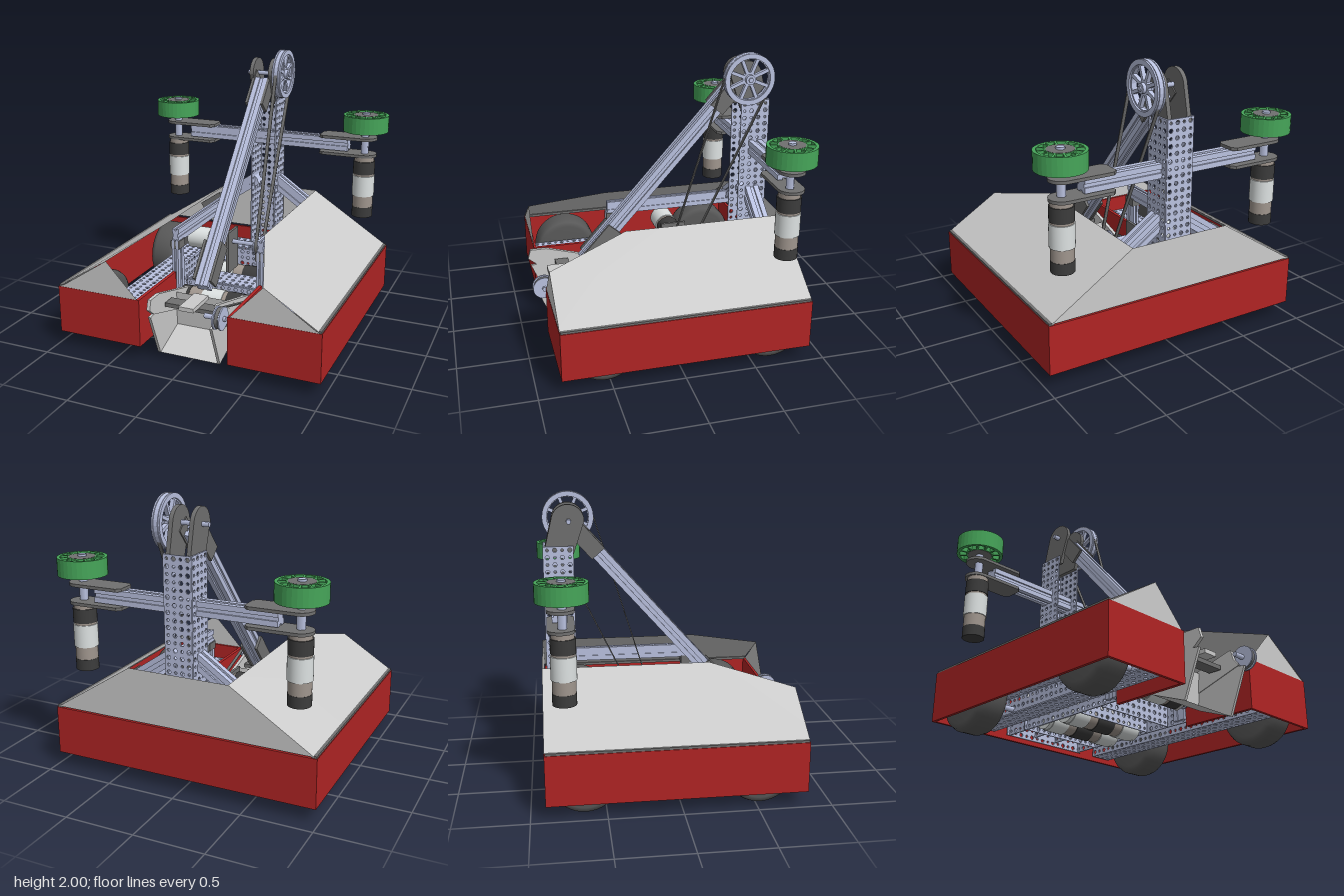
import * as THREE from 'three';

const mats = {};
const mat = (color) => (mats[color] ??= new THREE.MeshStandardMaterial({ color, side: THREE.DoubleSide }));
const GREY = 0xcccccc, RED = 0xb02424, BLUE = 0xbac2e0, DARK = 0x707070, BLACK = 0x3c3c3c,
  WHITE = 0xdde2e2, TAN = 0xa0968e, GREEN = 0x46a559, TYRE = 0x585858;
const V = (x, y, z) => new THREE.Vector3(x, y, z);

export function createModel() {
  const root = new THREE.Group();
  const add = (name, geo, color, x = 0, y = 0, z = 0, parent = root) => {
    const m = new THREE.Mesh(geo, mat(color));
    m.name = name;
    m.position.set(x, y, z);
    parent.add(m);
    return m;
  };
  const box = (name, color, x0, x1, y0, y1, z0, z1) =>
    add(name, new THREE.BoxGeometry(Math.abs(x1 - x0), y1 - y0, z1 - z0), color, (x0 + x1) / 2, (y0 + y1) / 2, (z0 + z1) / 2);
  const poly = (pts) => new THREE.Shape(pts.map(([a, b]) => new THREE.Vector2(a, b)));
  const extrude = (shape, depth) => {
    const g = new THREE.ExtrudeGeometry(shape, { depth, bevelEnabled: false, curveSegments: 16 });
    return g.translate(0, 0, -depth / 2);
  };
  // Plate drawn in (z, y) and extruded across x
  const sidePlate = (name, shape, depth, color, x, y = 0, z = 0) => {
    const m = add(name, extrude(shape, depth), color, x, y, z);
    m.rotation.y = -Math.PI / 2;
    return m;
  };
  // Thin flat polygon panel
  const panel = (name, pts) => {
    const g = new THREE.BufferGeometry().setFromPoints(pts);
    g.setIndex(pts.slice(2).flatMap((_, i) => [0, i + 1, i + 2]));
    g.computeVertexNormals();
    add(name, g, GREY);
  };
  // Perforated sheet with a regular hole pattern
  const perforated = (name, w, h, x, y, z, rx = 0, ry = 0) => {
    const s = poly([[-w / 2, -h / 2], [w / 2, -h / 2], [w / 2, h / 2], [-w / 2, h / 2]]);
    const nx = Math.max(1, Math.floor(w / 0.05)), ny = Math.max(1, Math.floor(h / 0.05));
    for (let i = 0; i < nx; i++) for (let j = 0; j < ny; j++) {
      const hole = new THREE.Path(), r = (i + j) % 2 ? 0.011 : 0.016;
      const cx = ((i + 0.5) / nx - 0.5) * w, cy = ((j + 0.5) / ny - 0.5) * h;
      hole.setFromPoints([...Array(6)].map((_, k) =>
        new THREE.Vector2(cx + r * Math.cos(-k * Math.PI / 3), cy + r * Math.sin(-k * Math.PI / 3))));
      s.holes.push(hole);
    }
    add(name, extrude(s, 0.01), BLUE, x, y, z).rotation.set(rx, ry, 0);
  };
  // Slotted square extrusion between two points
  const quarter = [[0.5, -0.5], [0.5, -0.13], [0.38, -0.13], [0.38, 0.13], [0.5, 0.13]];
  const beam = (name, a, b, w = 0.1, h = w) => {
    const pts = [0, 1, 2, 3].flatMap((k) => quarter.map(([x, y]) => {
      const c = [1, 0, -1, 0][k], s = [0, 1, 0, -1][k];
      return [(c * x - s * y) * w, (s * x + c * y) * h];
    }));
    const m = add(name, extrude(poly(pts), a.distanceTo(b)), BLUE);
    m.position.copy(a).lerp(b, 0.5);
    m.lookAt(b);
    return m;
  };
  const cylX = (name, r, x0, x1, y, z, color, sides = 28) => {
    const m = add(name, new THREE.CylinderGeometry(r, r, Math.abs(x1 - x0), sides), color, (x0 + x1) / 2, y, z);
    m.rotation.z = Math.PI / 2;
    return m;
  };
  // Motor stacked along +y from its origin: [length, radius, colour]
  const motor = (name, x, y, z, parts, rotZ = 0) => {
    const g = new THREE.Group();
    g.name = name;
    let h = 0;
    for (const [len, r, c] of parts) {
      add(name + 'Section', new THREE.CylinderGeometry(r, r, len, 32), c, 0, h + len / 2, 0, g);
      h += len;
    }
    g.position.set(x, y, z);
    g.rotation.z = rotZ;
    root.add(g);
  };
  // Disc with wedge-shaped windows
  const spoked = (R, r1, r0, n, spoke) => {
    const s = new THREE.Shape().absarc(0, 0, R, 0, Math.PI * 2);
    for (let i = 0; i < n; i++) {
      const a = (i / n) * Math.PI * 2, d = Math.PI / n, o = d - spoke / r1, q = d - spoke / r0;
      s.holes.push(new THREE.Path(
        [[r0, -q], [r1, -o], [r1, 0], [r1, o], [r0, q]].map(([r, t]) =>
          new THREE.Vector2(r * Math.cos(a + t), r * Math.sin(a + t)))));
    }
    return s;
  };
  // Belt loop around two pulleys, centres given as (z, y)
  const belt = (name, x, c1, r1, c2, r2, width) => {
    const phi = Math.atan2(c2[1] - c1[1], c2[0] - c1[0]);
    const al = Math.acos((r1 - r2) / Math.hypot(c2[0] - c1[0], c2[1] - c1[1]));
    const loop = (e) => {
      const pts = [];
      for (const [c, r, a0, a1] of [[c1, r1, phi + al, phi + 2 * Math.PI - al], [c2, r2, phi - al, phi + al]])
        for (let i = 0; i <= 20; i++) {
          const a = a0 + (a1 - a0) * i / 20;
          pts.push(new THREE.Vector2(c[0] + (r + e) * Math.cos(a), c[1] + (r + e) * Math.sin(a)));
        }
      return pts;
    };
    const s = new THREE.Shape(loop(0.008));
    s.holes.push(new THREE.Path(loop(0)));
    sidePlate(name, s, width, DARK, x);
  };

  // Rear bumper and cover
  box('rearBumper', RED, -0.98, 0.98, 0.1, 0.45, -0.9, -0.88);
  panel('rearCover', [V(-0.96, 0.46, -0.9), V(-0.37, 0.84, -0.9), V(0.37, 0.84, -0.9), V(0.96, 0.46, -0.9)]);

  for (const s of [-1, 1]) {
    // Bumper walls
    box('sideBumper', RED, s * 0.96, s * 0.98, 0.1, 0.45, -0.9, 0.84);
    box('frontBumper', RED, s * 0.33, s * 0.98, 0.1, 0.45, 0.82, 0.84);
    box('innerBumper', RED, s * 0.33, s * 0.355, 0.1, 0.45, 0.27, 0.84);
    box('bumperLip', DARK, s * 0.94, s * 0.975, 0.445, 0.465, -0.895, 0.835);
    // Sloped covers
    panel('sideCover', [V(s * 0.96, 0.46, 0.84), V(s * 0.96, 0.46, -0.9), V(s * 0.37, 0.84, -0.9), V(s * 0.37, 0.84, 0.27), V(s * 0.58, 0.7, 0.84)]);
    panel('frontCover', [V(s * 0.96, 0.45, 0.838), V(s * 0.58, 0.7, 0.838), V(s * 0.345, 0.45, 0.838)]);
    // Chassis rails
    perforated('railTop', 0.17, 1.66, s * 0.57, 0.33, -0.02, Math.PI / 2);
    perforated('railBottom', 0.17, 1.66, s * 0.57, 0.13, -0.02, Math.PI / 2);
    perforated('railWeb', 1.66, 0.2, s * 0.49, 0.23, -0.02, 0, Math.PI / 2);
    perforated('innerRail', 1.14, 0.2, s * 0.335, 0.23, -0.3, 0, Math.PI / 2);
    beam('upperRail', V(s * 0.335, 0.73, -0.87), V(s * 0.335, 0.73, 0.26), 0.05, 0.1);
    beam('frontPost', V(s * 0.335, 0.15, 0.22), V(s * 0.335, 0.7, 0.22), 0.05, 0.1);
    box('postClamp', DARK, s * 0.3, s * 0.37, 0.63, 0.69, 0.17, 0.27);
    // Drive wheels and motors
    for (const z of [0.53, -0.64]) {
      const tyre = new THREE.LatheGeometry([[0, -0.11], [0.19, -0.11], [0.225, -0.095], [0.24, -0.06], [0.24, 0.06],
        [0.225, 0.095], [0.19, 0.11], [0, 0.11]].map(([r, h]) => new THREE.Vector2(r, h)), 40);
      add('driveWheel', tyre, TYRE, s * 0.81, 0.24, z).rotation.z = Math.PI / 2;
      cylX('wheelAxle', 0.02, s * 0.34, s * 0.95, 0.24, z, BLUE, 6);
    }
    cylX('spacerRod', 0.015, s * 0.35, s * 0.5, 0.3, 0.62, BLUE, 12);
    for (const z of [-0.26, -0.48])
      motor('driveMotor', 0, 0.18, z, [[0.08, 0.083, BLACK], [0.08, 0.078, TAN], [0.14, 0.085, WHITE], [0.03, 0.08, WHITE]], -s * Math.PI / 2);
    // Tower struts with end gussets
    beam('towerStrut', V(s * 0.08, 0.94, -0.76), V(s * 0.5, 0.65, -0.76));
    const gusset = add('strutGusset', new THREE.BoxGeometry(0.2, 0.1, 0.02), DARK, s * 0.46, 0.69, -0.7);
    gusset.rotation.z = -s * 0.6;
    // Tower side and head plates
    perforated('towerSide', 0.21, 1.48, s * 0.1, 0.9, -0.76, 0, Math.PI / 2);
    const head = poly([[-0.865, 1.58], [-0.655, 1.58]]);
    head.lineTo(-0.575, 1.815);
    head.absarc(-0.69, 1.815, 0.115, 0, Math.PI * 0.95, false);
    sidePlate('headPlate', head, 0.03, DARK, s * 0.075);
    // Roller brackets, shaft, motor and green roller
    for (const y of [1.22, 1.35]) {
      const b = poly([[s * 0.8, -0.09], [s * 0.48, -0.09], [s * 0.45, -0.06], [s * 0.45, 0.06], [s * 0.48, 0.09], [s * 0.8, 0.09]]);
      b.absarc(s * 0.8, 0, 0.09, Math.PI / 2, s > 0 ? -Math.PI / 2 : Math.PI * 1.5, s > 0);
      add('rollerBracket', extrude(b, 0.022), DARK, 0, y, -0.765).rotation.x = Math.PI / 2;
    }
    motor('rollerMotor', s * 0.8, 0.73, -0.755, [[0.08, 0.08, BLACK], [0.09, 0.078, TAN], [0.16, 0.085, WHITE],
      [0.015, 0.078, TAN], [0.1, 0.083, BLACK], [0.035, 0.075, TAN]]);
    add('rollerShaft', new THREE.CylinderGeometry(0.03, 0.03, 0.35, 6), BLUE, s * 0.8, 1.375, -0.755);
    add('roller', extrude(spoked(0.172, 0.15, 0.1, 12, 0.007), 0.125), GREEN, s * 0.8, 1.472, -0.755).rotation.x = Math.PI / 2;
    add('rollerHub', new THREE.CylinderGeometry(0.09, 0.09, 0.128, 32), DARK, s * 0.8, 1.472, -0.755);
    // Gussets along the arm
    for (const [z, y, len] of [[-0.58, 1.69, 0.3], [0.38, 0.61, 0.3]]) {
      const g = sidePlate('armGusset', poly([[-0.06, -len / 2], [0.06, -len / 2], [0.06, len / 2], [-0.06, len / 2]]), 0.02, DARK, s * 0.062, y, z);
      g.rotation.set(0, -Math.PI / 2, Math.atan2(0.745, 0.84));
    }
    // Scoop carriers and side walls
    sidePlate('scoopCarrier', poly([[0.19, 0.24], [0.27, 0.19], [0.84, 0.37], [s < 0 ? 0.9 : 0.8, 0.42], [s < 0 ? 0.88 : 0.78, 0.49], [0.76, 0.49], [0.22, 0.34]]), 0.025, GREY, s * 0.225);
    sidePlate('scoopSide', poly([[0.75, 0.04], [0.88, 0.36], [0.5, 0.4], [0.48, 0.14]]), 0.02, GREY, s * 0.228);
  }

  // Cross channels
  for (const [z, w] of [[0, 0.64], [-0.765, 0.72]]) {
    perforated('crossPlate', w, 0.21, 0, 0.34, z, Math.PI / 2);
    for (const d of [-0.1, 0.1]) perforated('crossFlange', w, 0.2, 0, 0.23, z + d);
  }

  // Tower back and roller crossbar
  perforated('towerBack', 0.2, 1.48, 0, 0.9, -0.865);
  beam('crossbar', V(-0.67, 1.29, -0.77), V(0.67, 1.29, -0.77));

  // Swinging arm with its head axle and large pulley
  beam('arm', V(0, 0.47, 0.505), V(0, 1.76, -0.64));
  cylX('headAxle', 0.018, -0.14, 0.2, 1.815, -0.685, BLUE, 6);
  sidePlate('largePulley', spoked(0.185, 0.145, 0.05, 8, 0.012), 0.03, BLUE, 0.15, 1.815, -0.685);
  for (const x of [0.125, 0.175]) {
    const rim = new THREE.Shape().absarc(0, 0, 0.185, 0, Math.PI * 2);
    rim.holes.push(new THREE.Path().absarc(0, 0, 0.15, 0, Math.PI * 2));
    sidePlate('pulleyRim', rim, 0.012, BLUE, x, 1.815, -0.685);
  }
  cylX('pulleyHub', 0.035, 0.11, 0.19, 1.815, -0.685, BLUE);
  belt('armBelt', 0.15, [-0.685, 1.815], 0.172, [-0.2, 0.57], 0.07, 0.025);

  // Arm drive
  for (const x of [0.13, 0.175]) cylX('armPulleyFlange', 0.082, x - 0.005, x + 0.005, 0.57, -0.2, BLUE);
  cylX('armPulley', 0.065, 0.13, 0.175, 0.57, -0.2, BLUE);
  cylX('armDriveShaft', 0.018, -0.1, 0.2, 0.57, -0.2, BLUE, 6);
  motor('armMotor', -0.08, 0.565, -0.2, [[0.03, 0.07, TAN], [0.11, 0.085, BLACK], [0.03, 0.078, TAN], [0.17, 0.085, WHITE]], Math.PI / 2);
  box('armMotorMount', DARK, -0.09, -0.07, 0.33, 0.66, -0.3, -0.11);

  // Scoop floor, back and fittings
  panel('scoopFloor', [V(-0.235, 0.04, 0.75), V(0.235, 0.04, 0.75), V(0.235, 0.14, 0.48), V(-0.235, 0.14, 0.48)]);
  panel('scoopBack', [V(-0.235, 0.14, 0.48), V(0.235, 0.14, 0.48), V(0.235, 0.4, 0.5), V(-0.235, 0.4, 0.5)]);
  box('scoopBar', DARK, -0.2, 0.2, 0.37, 0.4, 0.6, 0.7);
  box('armFoot', GREY, -0.055, 0.055, 0.4, 0.43, 0.53, 0.78);

  // Scoop drive
  motor('scoopMotor', 0.22, 0.28, 0.28, [[0.12, 0.083, BLACK], [0.03, 0.078, TAN], [0.16, 0.085, WHITE], [0.1, 0.078, TAN], [0.07, 0.08, BLACK]], Math.PI / 2);
  for (const [y, z, r] of [[0.28, 0.28, 0.06], [0.435, 0.845, 0.08]]) {
    for (const x of [0.258, 0.302]) cylX('scoopPulleyFlange', r, x - 0.005, x + 0.005, y, z, BLUE);
    cylX('scoopPulley', r - 0.018, 0.258, 0.302, y, z, BLUE);
    cylX('scoopShaft', 0.018, 0.17, 0.325, y, z, BLUE, 6);
  }
  belt('scoopBelt', 0.28, [0.28, 0.28], 0.044, [0.845, 0.435], 0.064, 0.025);
  return root;
}
